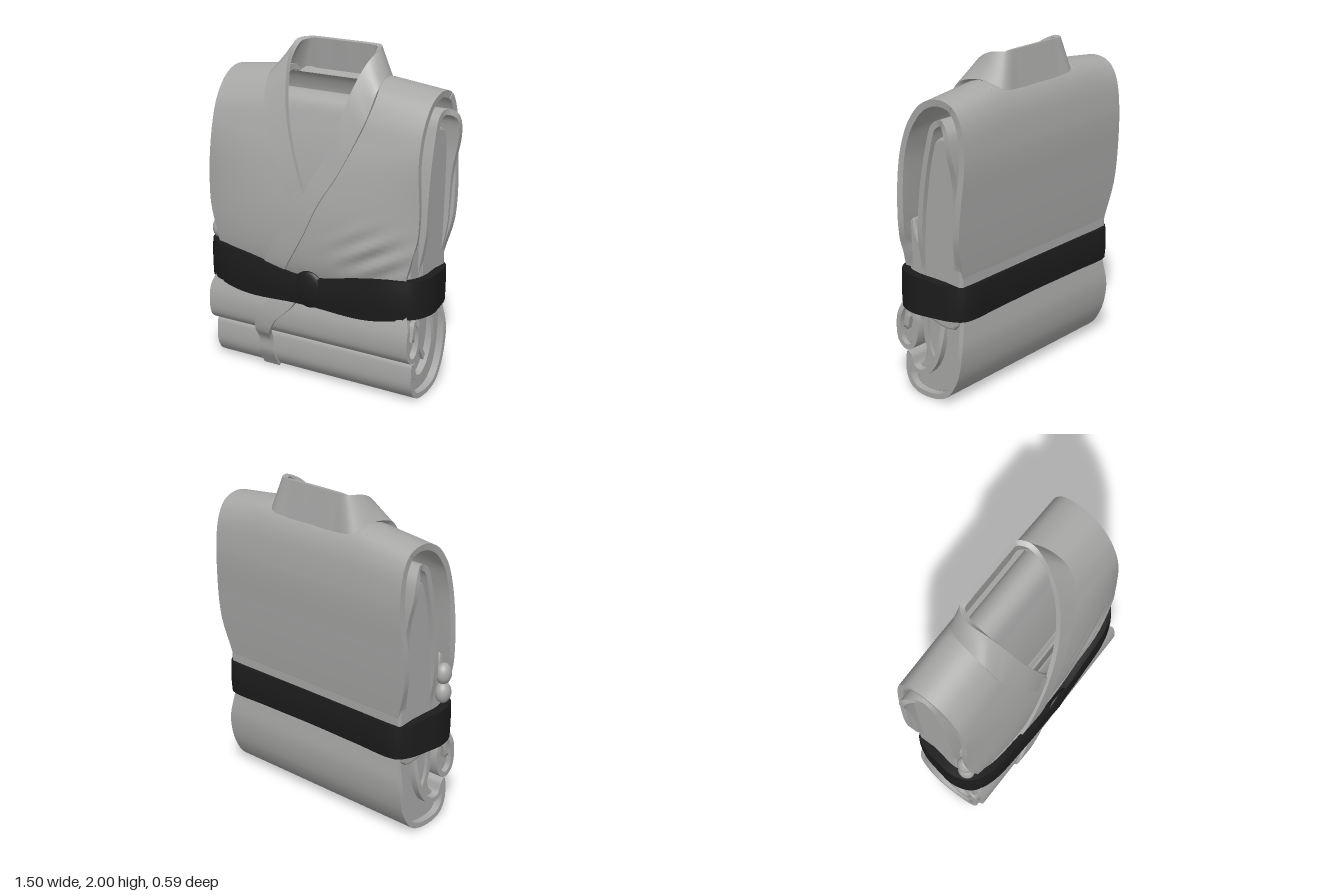
import * as THREE from 'three';
import { mergeGeometries } from 'three/addons/utils/BufferGeometryUtils.js';

const V = (x, y, z) => new THREE.Vector3(x, y, z);
const { lerp, clamp, smoothstep } = THREE.MathUtils;
const gauss = (d, w) => Math.exp(-((d / w) ** 2));

// Cloth sheet: P(u, v) is the visible face, the other face lies t behind its normal
function slab(P, nu, nv, t) {
  const e = 0.004, outer = [], inner = [], normals = [];
  for (let j = 0; j <= nv; j++) for (let i = 0; i <= nu; i++) {
    const u = i / nu, v = j / nv, p = P(u, v);
    const du = P(Math.min(1, u + e), v).sub(P(Math.max(0, u - e), v));
    const dv = P(u, Math.min(1, v + e)).sub(P(u, Math.max(0, v - e)));
    const n = du.cross(dv).normalize();
    outer.push(p);
    inner.push(p.clone().addScaledVector(n, -t));
    normals.push(n.multiplyScalar(Math.sign(t)));
  }
  const id = (i, j) => j * (nu + 1) + i;
  const build = (pts, nrm, idx, flip) => {
    const g = new THREE.BufferGeometry().setFromPoints(pts);
    if (flip) for (let k = 0; k < idx.length; k += 3) [idx[k], idx[k + 1]] = [idx[k + 1], idx[k]];
    g.setIndex(idx);
    if (nrm) g.setAttribute('normal', new THREE.Float32BufferAttribute(nrm.flatMap(n => n.toArray()), 3));
    else g.computeVertexNormals();
    return g;
  };
  const faces = [];
  for (let j = 0; j < nv; j++) for (let i = 0; i < nu; i++) {
    const a = id(i, j), b = id(i + 1, j), c = id(i + 1, j + 1), d = id(i, j + 1);
    faces.push(a, b, c, a, c, d);
  }
  // rim around all four borders
  const loop = [];
  for (let i = 0; i < nu; i++) loop.push(id(i, 0));
  for (let j = 0; j < nv; j++) loop.push(id(nu, j));
  for (let i = nu; i > 0; i--) loop.push(id(i, nv));
  for (let j = nv; j > 0; j--) loop.push(id(0, j));
  const rimPts = loop.flatMap(k => [outer[k], inner[k]]), rim = [], m = loop.length;
  for (let k = 0; k < m; k++) {
    const p = 2 * k, q = 2 * ((k + 1) % m);
    rim.push(p, p + 1, q, q, p + 1, q + 1);
  }
  const flip = t < 0;
  return mergeGeometries([
    build(outer, normals, [...faces], flip),
    build(inner, normals.map(n => n.clone().negate()), [...faces], !flip),
    build(rimPts, null, rim, flip),
  ]);
}

// Curve through [z, y] points in the side plane
const sideCurve = pts => new THREE.CatmullRomCurve3(pts.map(([z, y]) => V(0, y, z)));

// Folded sheet running across the whole width
function fold(pts, halfWidth, t, nv = 48) {
  const c = sideCurve(pts);
  return slab((u, v) => {
    const p = c.getPoint(v);
    return p.setX(lerp(-1, 1, u) * halfWidth(p));
  }, 6, nv, t);
}

// Solid stack of inner layers from a [z, y] outline
function stack(pts, halfWidth) {
  const b = 0.015;
  const shape = new THREE.Shape(new THREE.SplineCurve(
    [...pts, pts[0]].map(([z, y]) => new THREE.Vector2(-z, y))).getPoints(60));
  const g = new THREE.ExtrudeGeometry(shape, {
    depth: 2 * (halfWidth - b), bevelSize: b, bevelThickness: b, bevelOffset: -b, bevelSegments: 2,
  });
  return g.translate(0, 0, -(halfWidth - b)).rotateY(Math.PI / 2);
}

// Band between two edges; each row is [inner xyz, outer xyz]
function band(rows, t, n) {
  const a = new THREE.CatmullRomCurve3(rows.map(r => V(r[0], r[1], r[2])));
  const b = new THREE.CatmullRomCurve3(rows.map(r => V(r[3], r[4], r[5])));
  return slab((u, v) => a.getPoint(u).lerp(b.getPoint(u), v), n, 4, t);
}

export function createModel() {
  const robe = new THREE.Group();
  robe.name = 'foldedRobe';
  const cloth = new THREE.MeshStandardMaterial({ color: 0xa8a8a7 });
  cloth.name = 'greyCloth';
  const black = new THREE.MeshStandardMaterial({ color: 0x1c1c1c });
  black.name = 'blackBelt';
  const add = (name, geometry, material = cloth) => {
    const m = new THREE.Mesh(geometry, material);
    m.name = name;
    robe.add(m);
    return m;
  };

  // Body: one path up the back, over the shoulder and down the front
  const body = sideCurve([[-0.21, 0.6], [-0.245, 0.85], [-0.28, 1.2], [-0.298, 1.5], [-0.27, 1.69],
    [-0.21, 1.775], [-0.1, 1.8], [0.02, 1.755], [0.115, 1.64], [0.165, 1.5], [0.21, 1.3],
    [0.243, 1], [0.23, 0.75], [0.18, 0.6]]);
  const split = 5 / 13;
  const drape = (x, s, lap) => {
    const p = body.getPoint(s);
    const front = smoothstep(s, 0.6, 0.75);
    // the chest curves back towards the sides
    p.z += 0.012 - 0.055 * Math.abs(x / 0.7) ** 3 * front * (1 - smoothstep(p.y, 1, 1.6)) + lap * front;
    // creases gathered above the belt
    if (lap) p.z += front * 0.012 * gauss(x - 0.45, 0.2) * gauss(p.y - 0.88, 0.13)
      * Math.sin((p.y - 0.8 - 0.55 * (x - 0.25)) * 45);
    p.y += 0.04 * smoothstep(p.y, 1.5, 1.78) * clamp((0.7 - Math.abs(x)) / 0.35, 0, 1);
    return p.setX(x);
  };
  // half-width, drawn in at the waist
  const edge = s => {
    const { y } = body.getPoint(s);
    return 0.695 + 0.022 * gauss(y - 1.15, 0.25) - 0.055 * (1 - smoothstep(y, 0.7, 1.05));
  };
  add('backPanel', slab((u, v) => {
    const s = v * split;
    return drape(lerp(-1, 1, u) * edge(s), s, 0);
  }, 24, 30, -0.04));

  // Front panels: the inner border follows the neckline, the left one overlaps
  const neck = [0.3, 0.31, 0.29, 0.25, 0.19, 0.1];
  const panel = (side, borders, lap) => {
    const line = new THREE.SplineCurve(borders.map((x, i) => new THREE.Vector2(x, i)));
    return slab((u, v) => {
      const s = lerp(split, 1, v), w = side > 0 ? u : 1 - u;
      return drape(side * lerp(line.getPoint(v).x, edge(s), w), s, lap);
    }, 36, 70, -0.038);
  };
  add('leftFrontPanel', panel(1, [...neck, -0.05, -0.19, -0.25], 0.01));
  add('rightFrontPanel', panel(-1, [...neck, -0.03, -0.05, -0.05], 0));

  // Collar: back of the neck, then both lapels
  const collar = [
    [0.15, 2, -0.2, 0.17, 1.785, -0.228], [0.24, 1.998, -0.19, 0.295, 1.8, -0.222],
    [0.28, 1.99, -0.11, 0.35, 1.845, -0.11], [0.262, 1.93, 0, 0.368, 1.81, 0.05],
    [0.225, 1.8, 0.095, 0.345, 1.65, 0.146], [0.18, 1.62, 0.165, 0.29, 1.5, 0.194],
    [0.1, 1.38, 0.22, 0.2, 1.31, 0.236]];
  const mirrored = collar.map(([a, b, c, d, e, f]) => [-a, b, c, -d, e, f]).reverse();
  add('collar', band([
    [0.1, 0.9, 0.22, 0, 0.85, 0.225], [-0.01, 1.14, 0.235, -0.1, 1.08, 0.246],
    ...mirrored, [0, 2, -0.2, 0, 1.785, -0.228], ...collar,
    [0, 1.2, 0.255, 0.09, 1.13, 0.264], [-0.12, 1, 0.272, 0, 0.94, 0.276],
    [-0.27, 0.75, 0.262, -0.12, 0.73, 0.266], [-0.33, 0.62, 0.225, -0.19, 0.62, 0.23]], 0.03, 120));

  // Lapel end hanging below the belt
  add('lapelEnd', band([
    [-0.18, 0.6, 0.24, -0.02, 0.6, 0.245], [-0.24, 0.5, 0.272, -0.08, 0.48, 0.275],
    [-0.33, 0.38, 0.282, -0.2, 0.36, 0.282], [-0.35, 0.28, 0.265, -0.25, 0.27, 0.265],
    [-0.345, 0.21, 0.23, -0.265, 0.21, 0.23], [-0.355, 0.12, 0.218, -0.25, 0.12, 0.218],
    [-0.355, 0.02, 0.165, -0.245, 0.02, 0.165]], 0.03, 40));

  // Sleeves folded flat inside the body, bulging out at the upper back
  add('foldedSleeves', fold([[0.07, 0.5], [0.078, 0.9], [0.052, 1.25], [0, 1.52], [-0.05, 1.66],
    [-0.13, 1.695], [-0.205, 1.65], [-0.238, 1.5], [-0.24, 1.3], [-0.225, 1], [-0.18, 0.5]],
  ({ y, z }) => 0.695 - 0.055 * (1 - smoothstep(y, 0.65, 1.05))
    + 0.055 * gauss(y - 1.58, 0.2) * (1 - smoothstep(z, -0.22, -0.08)), 0.035));
  add('sleeveLayers', stack([[0.05, 0.5], [0.06, 0.9], [0.03, 1.25], [-0.02, 1.5], [-0.07, 1.575],
    [-0.14, 1.58], [-0.2, 1.54], [-0.235, 1.4], [-0.23, 1], [-0.19, 0.5]], 0.665));
  add('frontLayers', stack([[0.05, 0.5], [0.05, 0.85], [0.075, 0.99], [0.1, 0.94], [0.13, 0.99],
    [0.16, 1.06], [0.175, 0.9], [0.16, 0.5]], 0.65));

  // Puckers of cloth at the right side above the belt
  for (const y of [0.95, 0.83]) {
    const m = add('sidePucker', new THREE.SphereGeometry(0.065, 20, 14));
    m.position.set(-0.68, y, 0.145);
    m.scale.set(0.7, 1, 0.8);
  }

  // Folded skirt: large lower roll, smaller front roll, layers between
  add('lowerRoll', fold([[-0.2, 0.75], [-0.225, 0.52], [-0.237, 0.35], [-0.2, 0.17], [-0.11, 0.04],
    [0.03, 0.004], [0.14, 0.025], [0.19, 0.09], [0.198, 0.19], [0.185, 0.25], [0.155, 0.23],
    [0.13, 0.17], [0.08, 0.16], [0.01, 0.21], [-0.05, 0.35], [-0.05, 0.7]],
  ({ y }) => 0.682 - 0.045 * smoothstep(y, 0.3, 0.62), 0.032, 80));
  add('frontRoll', fold([[0.17, 0.72], [0.19, 0.64], [0.238, 0.53], [0.265, 0.41], [0.248, 0.3], [0.19, 0.26],
    [0.13, 0.29], [0.095, 0.4], [0.12, 0.5], [0.17, 0.5], [0.205, 0.4]],
  ({ y }) => 0.687 - 0.035 * smoothstep(y, 0.47, 0.6), -0.03, 60));
  add('middleLayer', fold([[0.065, 0.85], [0.075, 0.5], [0.06, 0.32], [0, 0.2]], () => 0.66, -0.03, 24));
  add('skirtLayers', stack([[-0.19, 0.75], [-0.218, 0.4], [-0.18, 0.17], [-0.09, 0.055], [0.04, 0.02],
    [0.14, 0.05], [0.155, 0.14], [0.09, 0.22], [0.08, 0.35], [0.1, 0.5], [0.1, 0.75]], 0.64));
  add('frontRollCore', stack([[0.18, 0.62], [0.225, 0.52], [0.25, 0.41], [0.23, 0.31], [0.18, 0.285],
    [0.115, 0.37], [0.1, 0.6]], 0.655));

  // Belt: wide band around the waist, dipping at the knot, with a second strand below
  const side = [[0.3, 0.282], [0.58, 0.258], [0.7, 0.195], [0.743, 0.08], [0.732, -0.03],
    [0.695, -0.18], [0.645, -0.24], [0.35, -0.245]];
  const ring = new THREE.CatmullRomCurve3([
    [0, 0.288], ...side, [0, -0.24], ...side.map(([x, z]) => [-x, z]).reverse(),
  ].map(([x, z]) => V(x, 0, z)), true);
  const belt = (inset, drop) => slab((u, v) => {
    const p = ring.getPoint(u), front = smoothstep(p.z, 0, 0.24);
    const dip = front * gauss(p.x, 0.36);
    const top = 0.745 + 0.025 * smoothstep(p.z, -0.24, 0.1) - 0.085 * dip;
    const bottom = 0.54 - 0.025 * dip - drop * front * gauss(Math.abs(p.x) - 0.4, 0.24);
    p.x *= 1 - inset;
    p.z *= 1 - inset + 0.03 * Math.sin(v * Math.PI);
    return p.setY(lerp(bottom, top, v));
  }, 110, 6, 0.03);
  add('belt', belt(0, 0), black);
  add('beltUnderStrand', belt(0.03, 0.035), black);
  const knot = add('beltKnot', new THREE.SphereGeometry(1, 28, 18), black);
  knot.position.set(0.04, 0.615, 0.277);
  knot.scale.set(0.105, 0.112, 0.027);

  return robe;
}
